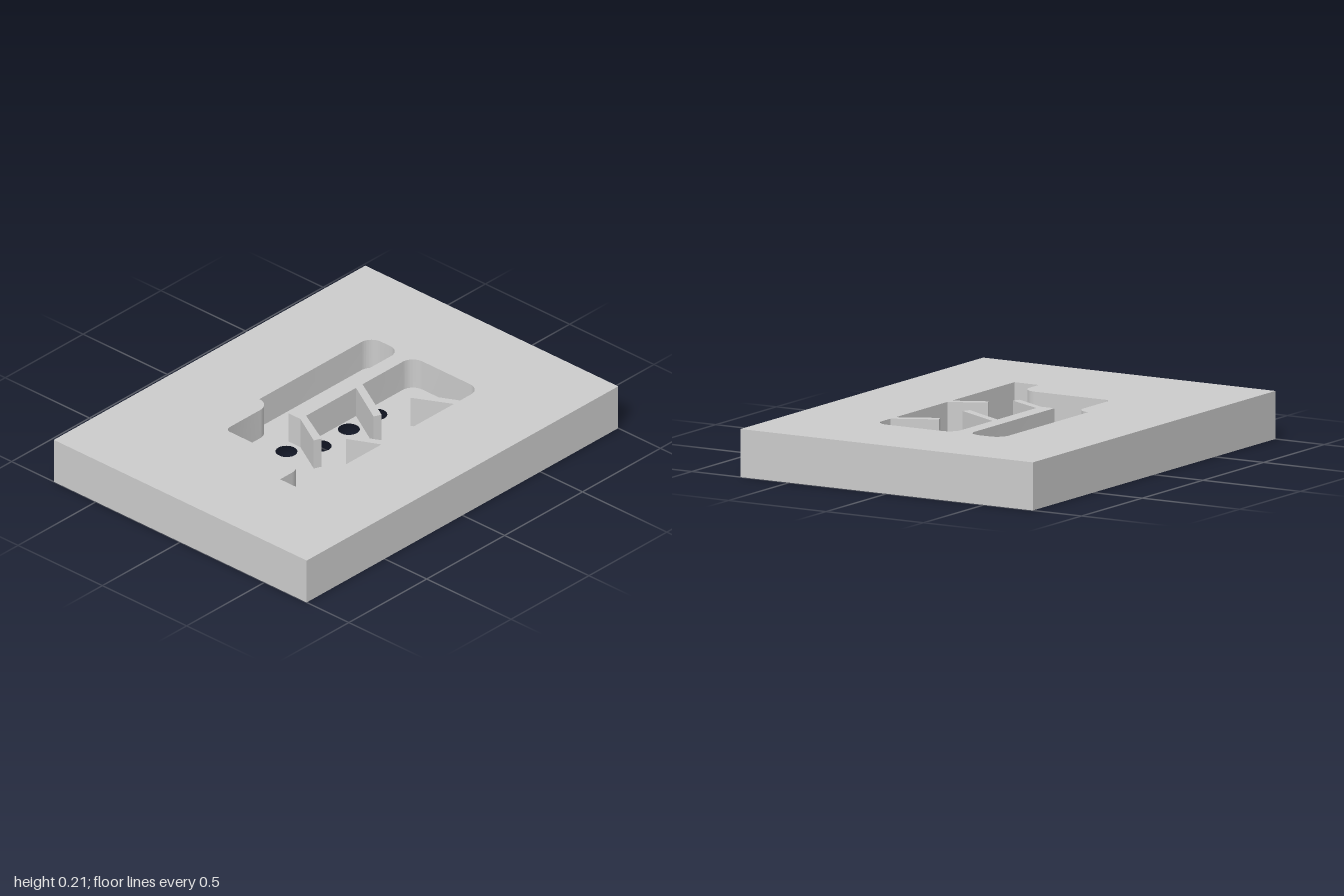
import * as THREE from 'three';
import { toCreasedNormals } from 'three/addons/utils/BufferGeometryUtils.js';

const TOP = 0.213, FLOOR = 0.07, H = Math.PI / 2;
const material = new THREE.MeshStandardMaterial({ color: 0xcccccc, side: THREE.DoubleSide });

// Plans are drawn with x to the right and y towards the back (y = -z).
function rectangle(w, d) {
  return [[-w, -d], [w, -d], [w, d], [-w, d]].map(([x, y]) => new THREE.Vector2(x, y));
}

// Outline of the pocket, running round the fixed ribs and the divider
function pocketShape() {
  const s = new THREE.Shape();
  const lines = (...pts) => pts.forEach(([x, y]) => s.lineTo(x, y));
  s.moveTo(-0.575, -0.325);
  lines([-0.06, -0.325], [-0.13, -0.18], [-0.1, -0.165], [-0.022, -0.325]); // front left rib
  lines([0.405, -0.325], [0.315, -0.15], [0.35, -0.137], [0.445, -0.325]); // front right rib
  s.absarc(0.515, -0.265, 0.06, -H, 0, false);
  s.absarc(0.515, 0.02, 0.06, 0, H, false);
  lines([0.257, 0.08], [0.125, -0.155], [0.09, -0.14], [0.215, 0.08]); // middle rib
  lines([-0.105, 0.08], [-0.2, -0.1], [-0.235, -0.085], [-0.142, 0.08]); // end rib
  lines([-0.142, 0.15]); // divider
  s.absarc(0.515, 0.21, 0.06, -H, 0, false);
  s.absarc(0.515, 0.265, 0.06, 0, H, false);
  s.absarc(-0.205, 0.325, 0.065, 0, -H, true);
  s.absarc(-0.4, 0.23, 0.03, H, 2 * H, false);
  s.absarc(-0.5, -0.13, 0.07, 0, -H, true);
  lines([-0.575, -0.2], [-0.575, -0.325]);
  return s;
}

function add(group, name, geometry) {
  const mesh = new THREE.Mesh(geometry, material);
  mesh.name = name;
  group.add(mesh);
}

// Flat horizontal sheet at height y, facing up or down
function sheet(shape, y, down = false) {
  const g = new THREE.ShapeGeometry(shape, 12);
  g.rotateX(-H);
  if (down) {
    g.index.array.reverse();
    g.computeVertexNormals();
  }
  return g.translate(0, y, 0);
}

// Vertical band along a closed outline, facing right of its direction
function band(points, y0, y1) {
  const pos = [];
  points.forEach((p, i) => {
    const q = points[(i + 1) % points.length];
    if (p.distanceTo(q) < 1e-6) return;
    pos.push(p.x, y0, -p.y, q.x, y0, -q.y, q.x, y1, -q.y);
    pos.push(p.x, y0, -p.y, q.x, y1, -q.y, p.x, y1, -p.y);
  });
  const g = new THREE.BufferGeometry();
  g.setAttribute('position', new THREE.Float32BufferAttribute(pos, 3));
  return toCreasedNormals(g, 0.5);
}

export function createModel() {
  const group = new THREE.Group();
  group.name = 'pocketedBlock';
  const outer = rectangle(1, 0.75);
  const outline = pocketShape().getPoints(12);

  // Block skin: sides, top with the pocket opening, underside with a rectangular opening
  add(group, 'blockSides', band(outer, 0, TOP));
  const top = new THREE.Shape(outer);
  top.holes.push(new THREE.Path(outline));
  add(group, 'blockTop', sheet(top, TOP));
  const bottom = new THREE.Shape(outer);
  bottom.holes.push(new THREE.Path(rectangle(0.575, 0.325)));
  add(group, 'blockUnderside', sheet(bottom, 0, true));

  // Pocket walls and ribs, facing into the pocket
  add(group, 'pocketWalls', band([...outline].reverse(), FLOOR, TOP));

  // Thin pocket floor with round holes
  const floor = pocketShape();
  const holes = [[0.182, 0.25], [-0.21, 0.1], [-0.075, 0.022], [0.112, 0.027], [0.285, 0.024],
    [-0.447, -0.243], [-0.17, -0.25], [0.013, -0.25], [0.304, -0.25]];
  for (const [x, y] of holes) {
    const hole = new THREE.Path();
    hole.absarc(x, y, 0.048, 0, 4 * H, true);
    floor.holes.push(hole);
  }
  add(group, 'pocketFloor', sheet(floor, FLOOR));
  return group;
}
